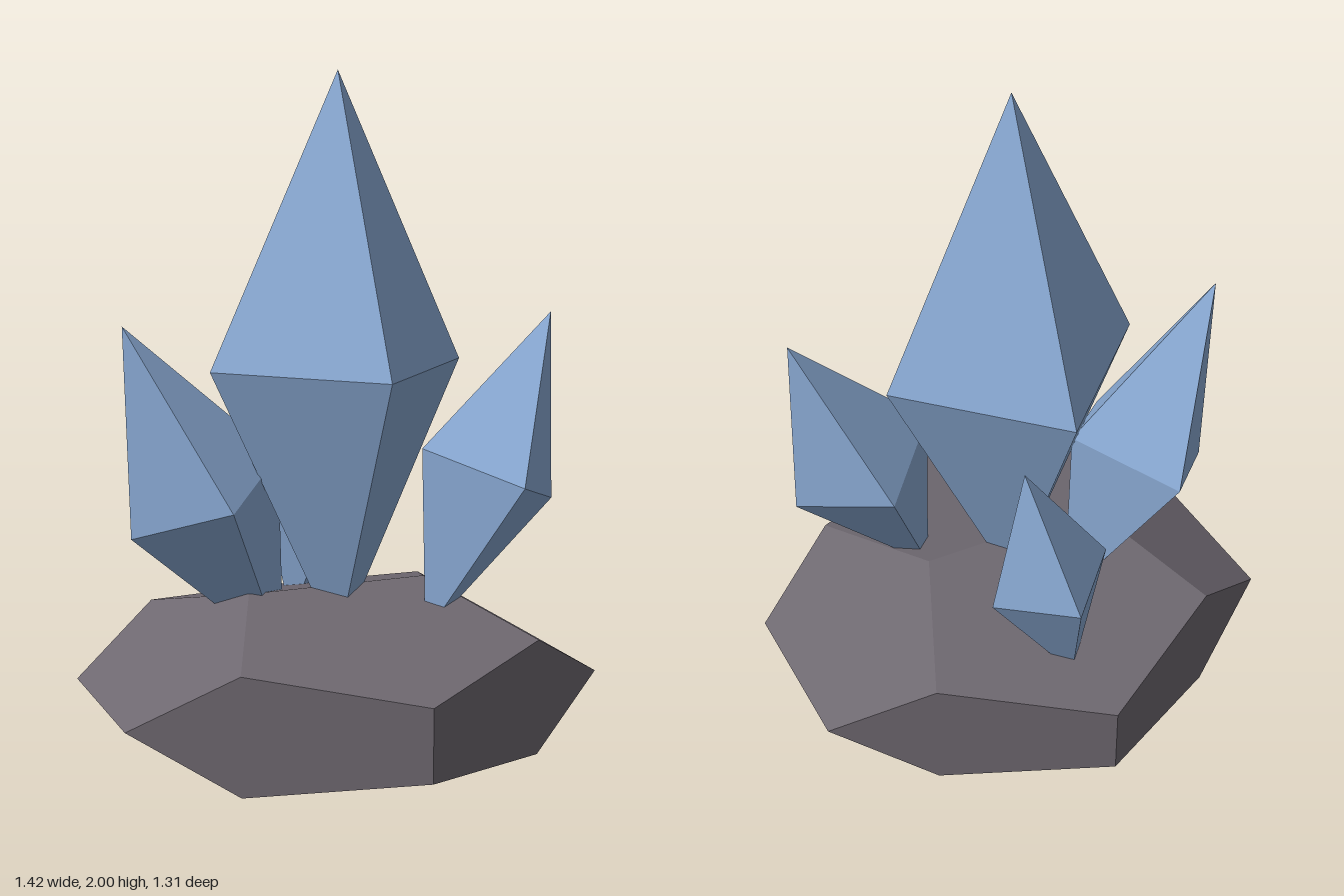
import * as THREE from 'three';

const crystalBlue = new THREE.MeshStandardMaterial({ color: 0x8aaad4, flatShading: true });
crystalBlue.name = 'crystal blue';
const rockGrey = new THREE.MeshStandardMaterial({ color: 0x6e6870, flatShading: true });
rockGrey.name = 'rock grey';

// Elongated eight-sided crystal, leaning sideways by tilt radians
function crystal(name, [x, y, z], radius, halfHeight, tilt) {
  const geometry = new THREE.OctahedronGeometry(1).scale(radius, halfHeight, radius);
  geometry.computeVertexNormals();
  const mesh = new THREE.Mesh(geometry, crystalBlue);
  mesh.name = name;
  mesh.position.set(x, y, z);
  mesh.rotation.z = tilt;
  return mesh;
}

export function createModel() {
  const group = new THREE.Group();
  group.name = 'crystalCluster';

  // Flattened twelve-faced boulder
  const rockGeometry = new THREE.DodecahedronGeometry(Math.sqrt(3)).scale(0.44, 0.167, 0.405);
  rockGeometry.computeVertexNormals();
  const rock = new THREE.Mesh(rockGeometry, rockGrey);
  rock.name = 'rockBase';
  rock.position.y = 0.27;
  group.add(rock);

  // Tall upright crystal with three smaller ones around it
  group.add(
    crystal('mainCrystal', [0, 1.18, 0], 0.38, 0.82, 0),
    crystal('leftCrystal', [0.408, 0.862, 0.14], 0.226, 0.498, -0.4),
    crystal('rightCrystal', [-0.367, 0.81, -0.0925], 0.243, 0.55, 0.44),
    crystal('backCrystal', [0.09, 0.727, -0.41], 0.18, 0.4, -0.2),
  );
  return group;
}
